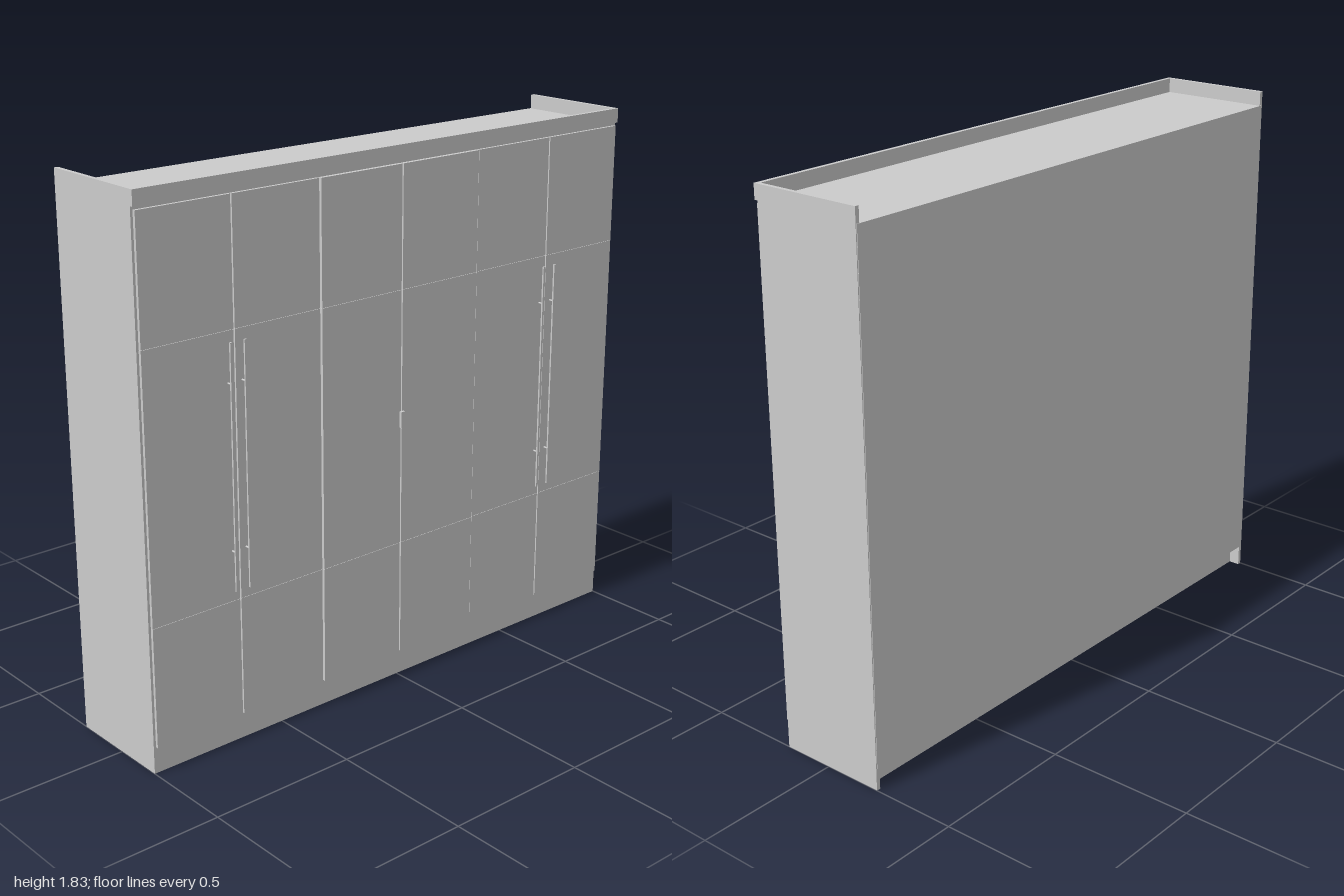
import * as THREE from 'three';

export function createModel() {
  const model = new THREE.Group();
  const material = new THREE.MeshStandardMaterial({ color: 0xcccccc });

  // Box given by its extents along each axis
  function box(name, [x0, x1], [y0, y1], [z0, z1], parent = model) {
    const mesh = new THREE.Mesh(new THREE.BoxGeometry(x1 - x0, y1 - y0, z1 - z0), material);
    mesh.name = name;
    mesh.position.set((x0 + x1) / 2, (y0 + y1) / 2, (z0 + z1) / 2);
    parent.add(mesh);
    return mesh;
  }

  const T = 0.014;          // board thickness
  const H = 1.825;          // overall height
  const FRONT = 0.178, BACK = -0.208;
  const inner = [-1 + T, 1 - T];

  // Carcass: sides, recessed top, raised floor, back sheet
  box('leftSide', [1 - T, 1], [0, H], [BACK, FRONT]);
  box('rightSide', [-1, -1 + T], [0, H], [BACK, FRONT]);
  box('topPanel', inner, [1.762, 1.776], [BACK, FRONT]);
  box('floorPanel', inner, [0.075, 0.089], [BACK, FRONT]);
  box('backPanel', [-0.997, 0.997], [0.075, 1.776], [-0.21, -0.206]);
  for (const x of [-0.33, 0.33]) {
    box('divider', [x - T / 2, x + T / 2], [0.089, 1.762], [-0.206, FRONT - 0.002]);
    box('plinthDivider', [x - T / 2, x + T / 2], [0, 0.075], [-0.156, FRONT - T]);
  }

  // Plinth boards; the rear one is set in
  box('plinthFront', inner, [0, 0.075], [FRONT - T, FRONT]);
  box('plinthBack', inner, [0, 0.075], [-0.17, -0.156]);

  // Cornice: front board standing above the top panel
  box('cornice', [-1, 1], [1.776, H], [FRONT - 0.002, 0.19]);

  // Six doors, each of three stacked panels; the middle pair stands proud
  const rows = [0.09, 0.492, 1.362, 1.766];
  const edges = [-0.995, -0.663, -0.332, 0, 0.332, 0.663, 0.995];
  for (let i = 0; i < 6; i++) {
    const door = new THREE.Group();
    door.name = 'door';
    const face = i === 2 || i === 3 ? 0.193 : 0.189;
    for (let j = 0; j < 3; j++) {
      box('doorPanel', [edges[i] + 0.0025, edges[i + 1] - 0.0025],
        [rows[j] + 0.0005, rows[j + 1] - 0.0005], [FRONT + 0.001, face], door);
    }
    model.add(door);
  }

  // Long bar handles on two posts each
  for (const x of [-0.69, -0.637, 0.637, 0.69]) {
    const handle = new THREE.Group();
    handle.name = 'handle';
    box('handleBar', [x - 0.004, x + 0.004], [0.53, 1.33], [0.204, 0.21], handle);
    for (const y of [0.66, 1.2]) {
      const post = new THREE.Mesh(new THREE.CylinderGeometry(0.003, 0.003, 0.018, 12), material);
      post.name = 'handlePost';
      post.rotation.x = Math.PI / 2;
      post.position.set(x, y, 0.196);
      handle.add(post);
    }
    model.add(handle);
  }

  // Small pull at the meeting of the middle doors
  box('centrePull', [-0.008, 0.008], [0.9, 0.955], [0.19, 0.203]);

  return model;
}
